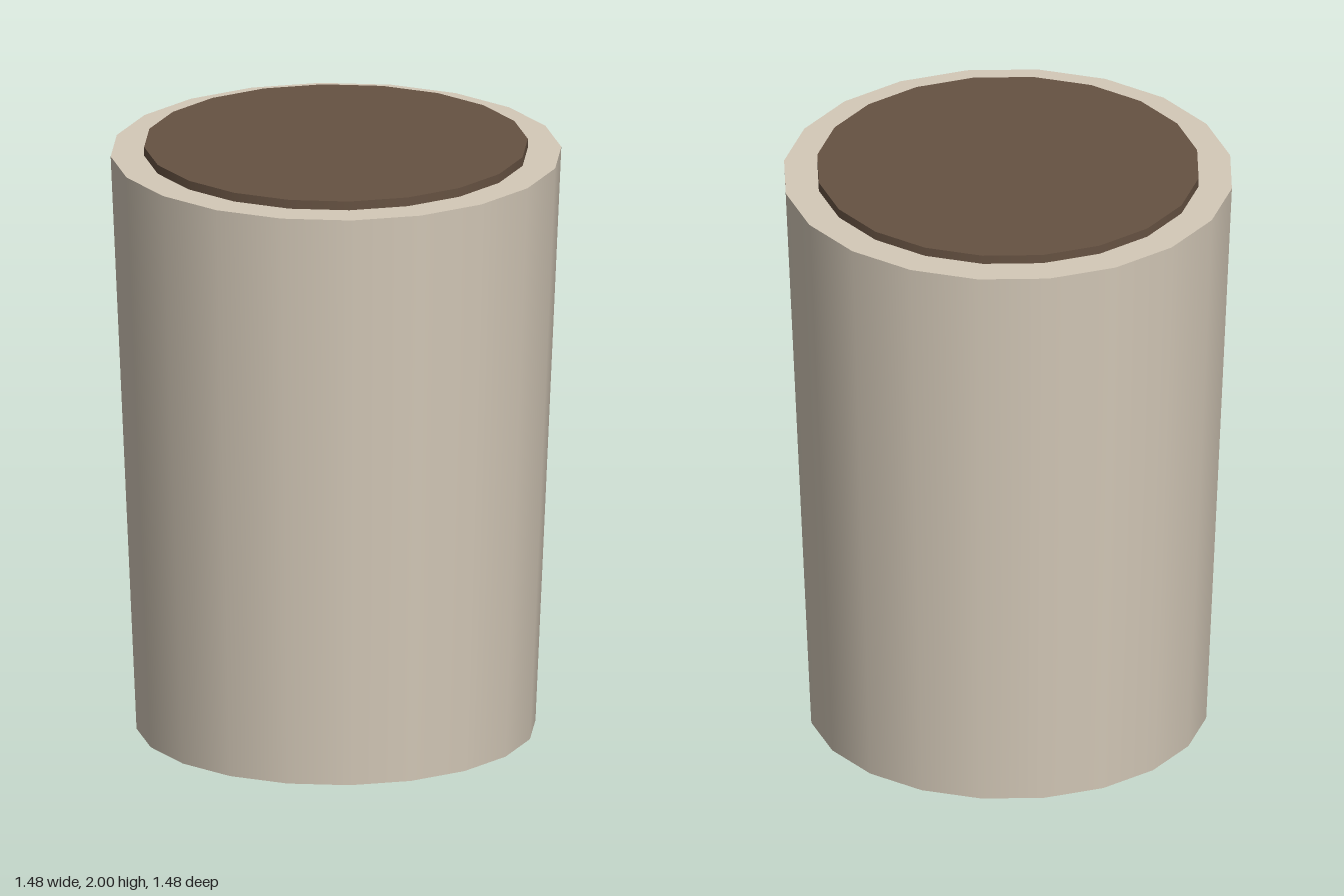
import * as THREE from 'three';

const SIDES = 20;

// Smooth-sided tapered disc or drum standing on y = bottom
function drum(name, topRadius, bottomRadius, bottom, top, color) {
  const geometry = new THREE.CylinderGeometry(topRadius, bottomRadius, top - bottom, SIDES);
  const mesh = new THREE.Mesh(geometry, new THREE.MeshStandardMaterial({ color }));
  mesh.name = name;
  mesh.position.y = (top + bottom) / 2;
  return mesh;
}

export function createModel() {
  const model = new THREE.Group();
  model.name = 'planter';

  // Tapered pot body
  model.add(drum('pot', 0.74, 0.655, 0, 1.97, 0xd4c9b8));

  // Soil disc, sunk into the pot and rising slightly above its rim
  model.add(drum('soil', 0.63, 0.63, 1.9, 2, 0x665242));

  return model;
}
